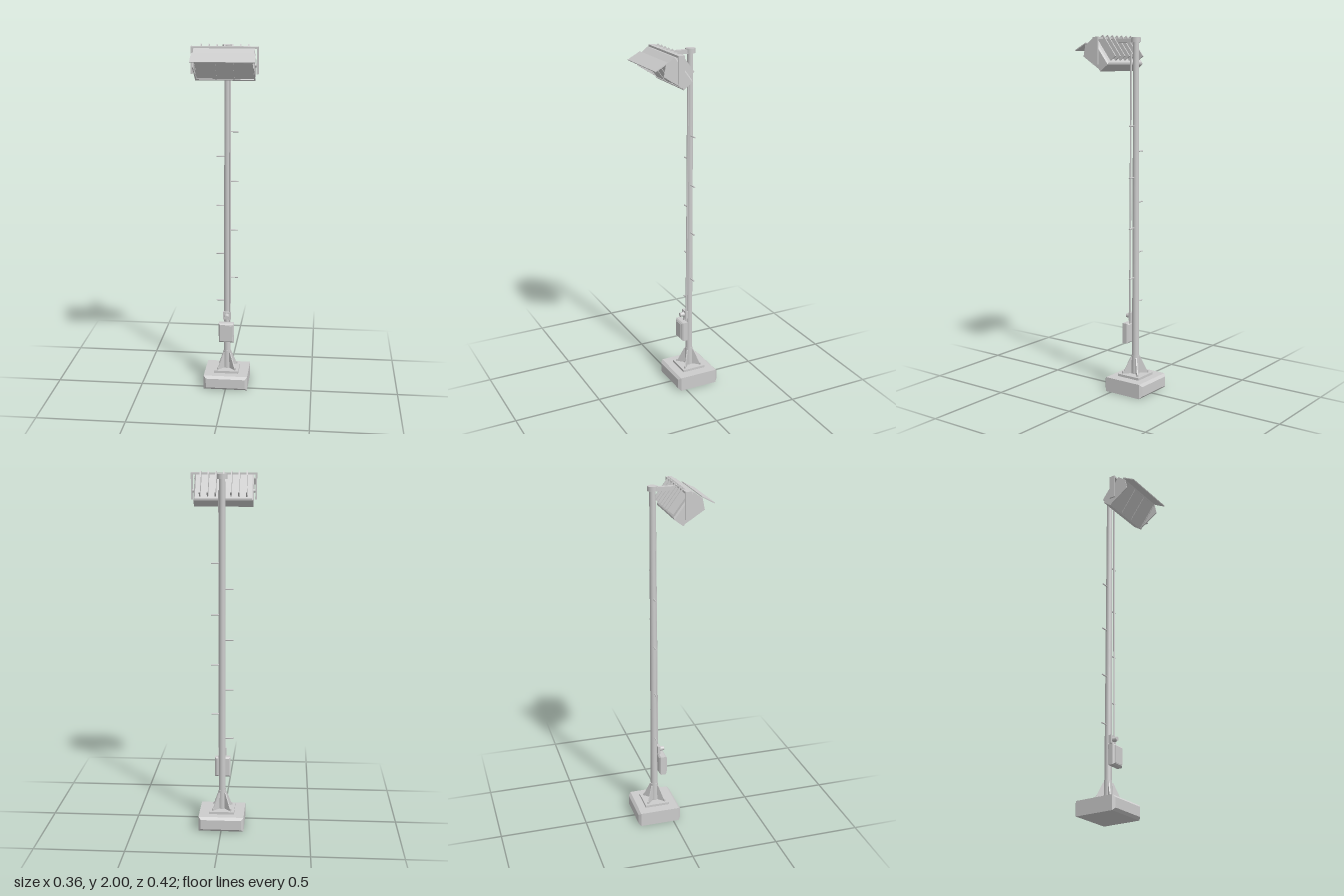
import * as THREE from 'three';

const grey = new THREE.MeshStandardMaterial({ color: 0xcccccc });
grey.name = 'galvanised grey';

const POLE_Z = -0.082;

function add(parent, name, geometry, x = 0, y = 0, z = 0) {
  const mesh = new THREE.Mesh(geometry, grey);
  mesh.name = name;
  mesh.position.set(x, y, z);
  parent.add(mesh);
  return mesh;
}

const box = (w, h, d) => new THREE.BoxGeometry(w, h, d);

// Box whose front and back rims are chamfered
function chamferBox(w, h, d, b) {
  const x = w / 2 - b, y = h / 2 - b;
  const shape = new THREE.Shape([[-x, -y], [x, -y], [x, y], [-x, y]].map(p => new THREE.Vector2(...p)));
  const g = new THREE.ExtrudeGeometry(shape, {
    depth: d - 2 * b, bevelEnabled: true, bevelSize: b, bevelThickness: b, bevelSegments: 1,
  });
  return g.translate(0, 0, -(d - 2 * b) / 2);
}

// Flat plate cut from an outline in the XY plane, centred on its thickness
function plate(points, t) {
  const shape = new THREE.Shape(points.map(p => new THREE.Vector2(...p)));
  return new THREE.ExtrudeGeometry(shape, { depth: t, bevelEnabled: false }).translate(0, 0, -t / 2);
}

function buildFoot(parent) {
  add(parent, 'foundationBlock', chamferBox(0.255, 0.083, 0.256, 0.014), 0, 0.0415, POLE_Z);
  add(parent, 'basePlate', box(0.142, 0.014, 0.142), 0, 0.09, POLE_Z);
  // Diagonal gussets and anchor bolts, one per corner
  const outline = [[0.012, 0.097], [0.068, 0.097], [0.068, 0.108], [0.028, 0.192], [0.012, 0.192]];
  for (let i = 0; i < 4; i++) {
    const a = Math.PI / 4 + i * Math.PI / 2;
    add(parent, 'gusset', plate(outline, 0.007), 0, 0, POLE_Z).rotation.y = a;
    add(parent, 'anchorBolt', new THREE.CylinderGeometry(0.006, 0.006, 0.014, 8),
      Math.cos(a) * 0.071, 0.103, POLE_Z + Math.sin(a) * 0.071);
  }
}

function buildPole(parent) {
  add(parent, 'pole', new THREE.CylinderGeometry(0.016, 0.02, 1.88, 20), 0, 1.035, POLE_Z);
  add(parent, 'poleCollar', new THREE.CylinderGeometry(0.022, 0.024, 0.11, 20), 0, 0.15, POLE_Z);
  add(parent, 'poleCap', new THREE.CylinderGeometry(0.027, 0.027, 0.026, 20), 0, 1.974, POLE_Z);
  // Climbing pegs alternate from side to side
  for (let i = 0; i < 8; i++) {
    const side = i % 2 ? 1 : -1;
    const peg = add(parent, 'climbingPeg', new THREE.CylinderGeometry(0.004, 0.004, 0.052, 8),
      side * 0.036, 0.515 + i * 0.142, POLE_Z);
    peg.rotation.z = Math.PI / 2;
  }
  // Cable conduit up the front of the pole
  const run = new THREE.LineCurve3(new THREE.Vector3(0.018, 0.38, -0.055), new THREE.Vector3(0.018, 1.9, -0.062));
  add(parent, 'cableConduit', new THREE.TubeGeometry(run, 1, 0.005, 8));
}

function buildControls(parent) {
  add(parent, 'controlBox', chamferBox(0.088, 0.116, 0.044, 0.008), 0, 0.333, -0.037);
  add(parent, 'controlDoor', box(0.064, 0.092, 0.004), 0, 0.333, -0.014);
  add(parent, 'sensorMount', box(0.046, 0.046, 0.016), 0, 0.428, -0.056);
  const eye = add(parent, 'sensorEye', new THREE.CylinderGeometry(0.012, 0.015, 0.026, 14), 0, 0.428, -0.035);
  eye.rotation.x = Math.PI / 2;
  add(parent, 'sensorStem', new THREE.CylinderGeometry(0.008, 0.008, 0.03, 10), 0, 0.4, -0.052);
}

function buildBracket(parent) {
  add(parent, 'supportArm', box(0.026, 0.022, 0.125), 0, 1.97, -0.018);
  add(parent, 'bracketBar', box(0.362, 0.011, 0.035), 0, 1.983, 0.06);
  for (const side of [-1, 1]) {
    add(parent, 'bracketLeg', box(0.009, 0.145, 0.035), side * 0.1765, 1.9155, 0.06);
    const pin = add(parent, 'pivotPin', new THREE.CylinderGeometry(0.01, 0.01, 0.022, 12), side * 0.167, 1.89, 0.06);
    pin.rotation.z = Math.PI / 2;
  }
}

// Lamp head, local +z being the direction of the beam
function buildHead(parent) {
  const head = new THREE.Group();
  head.name = 'lampHead';
  head.position.set(0, 1.8776, 0.0857);
  head.rotation.x = 0.6435;
  parent.add(head);

  add(head, 'housing', chamferBox(0.326, 0.173, 0.064, 0.008), 0, 0, -0.032);
  add(head, 'lens', box(0.306, 0.153, 0.004), 0, 0, 0.001);
  for (const s of [-1, 1]) {
    add(head, 'lensFrameRail', box(0.326, 0.008, 0.014), 0, s * 0.0825, -0.001);
    add(head, 'lensFrameStile', box(0.008, 0.157, 0.014), s * 0.159, 0, -0.001);
    add(head, 'lensDivider', box(0.005, 0.157, 0.006), s * 0.048, 0, 0.003);
    // Triangular hood cheek
    const cheek = plate([[0, -0.0865], [0, 0.09], [0.05, 0.0455]], 0.005);
    add(head, 'hoodCheek', cheek, s * 0.1605, 0, 0).rotation.y = -Math.PI / 2;
  }
  // Cooling fins across the back
  for (let i = -3; i <= 3; i++) {
    add(head, 'coolingFin', box(0.007, 0.141, 0.044), i * 0.0425, 0.003, -0.084);
  }
  // Visor sloping out over the lens
  add(head, 'visor', box(0.342, 0.005, 0.082), 0, 0.097, 0.031).rotation.x = -0.15;
  return head;
}

export function createModel() {
  const model = new THREE.Group();
  model.name = 'floodlightMast';
  buildFoot(model);
  buildPole(model);
  buildControls(model);
  buildBracket(model);
  const head = buildHead(model);
  // Turn cheeks so their points face along the beam
  head.updateMatrixWorld(true);
  return model;
}
